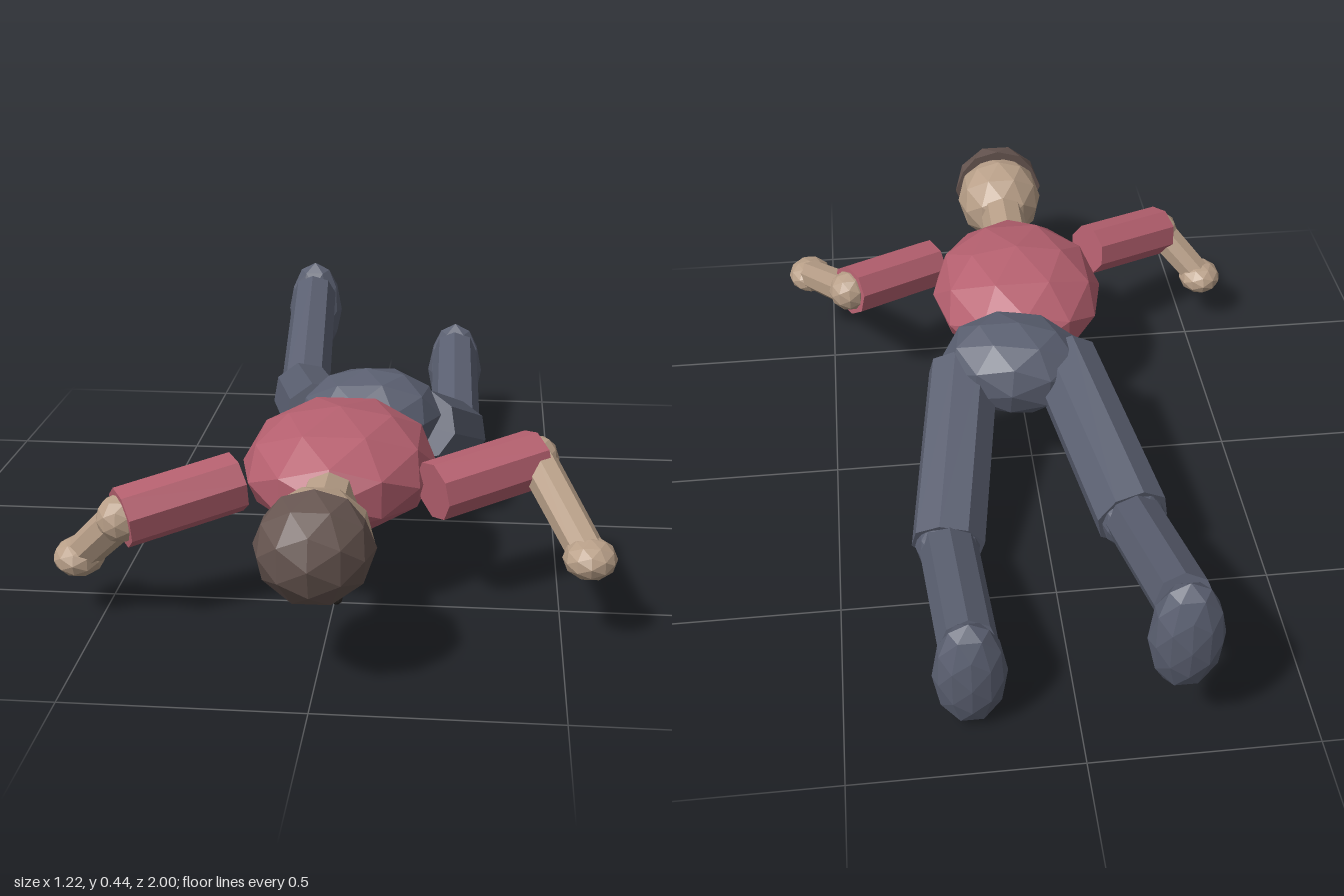
import * as THREE from 'three';

const paint = (name, color) => {
  const m = new THREE.MeshStandardMaterial({ color, flatShading: true });
  m.name = name;
  return m;
};

export function createModel() {
  const shirt = paint('shirt red', 0xb5606f);
  const trousers = paint('slate trousers', 0x5a5f70);
  const skin = paint('skin', 0xb89f88);
  const brown = paint('hair brown', 0x665550);
  const black = paint('eye black', 0x26221f);

  const model = new THREE.Group();
  model.name = 'lyingFigure';

  const add = (parent, name, geometry, material) => {
    const mesh = new THREE.Mesh(geometry, material);
    mesh.name = name;
    parent.add(mesh);
    return mesh;
  };

  // Faceted ellipsoid
  const blob = (parent, name, material, pos, radii, rot = [0, 0, 0]) => {
    const mesh = add(parent, name, new THREE.IcosahedronGeometry(1, 1).scale(...radii), material);
    mesh.position.set(...pos);
    mesh.rotation.set(...rot);
    return mesh;
  };

  // Eight-sided limb between two points
  const limb = (parent, name, material, from, to, r0, r1 = r0) => {
    const a = new THREE.Vector3(...from);
    const b = new THREE.Vector3(...to);
    const dir = b.clone().sub(a);
    const mesh = add(parent, name, new THREE.CylinderGeometry(r1, r0, dir.length(), 8), material);
    mesh.position.copy(a).add(b).multiplyScalar(0.5);
    mesh.quaternion.setFromUnitVectors(new THREE.Vector3(0, 1, 0), dir.normalize());
    return mesh;
  };

  // Body
  blob(model, 'torso', shirt, [0, 0.285, 0.355], [0.222, 0.135, 0.28]);
  blob(model, 'hips', trousers, [0.04, 0.29, 0.025], [0.18, 0.12, 0.145], [0, -0.15, 0.08]);

  // Head, face down
  const head = new THREE.Group();
  head.name = 'head';
  model.add(head);
  limb(head, 'neck', skin, [0, 0.292, 0.58], [0, 0.292, 0.74], 0.06);
  blob(head, 'skull', skin, [0, 0.288, 0.83], [0.118, 0.116, 0.135]);

  // Hair cap: the half of the ellipsoid beyond the crown line
  const cap = new THREE.IcosahedronGeometry(1, 1);
  const p = cap.attributes.position;
  for (let i = 0; i < p.count; i++) p.setZ(i, Math.max(p.getZ(i), 0));
  cap.scale(0.123, 0.118, 0.134);
  cap.computeVertexNormals();
  const hair = add(head, 'hair', cap, brown);
  hair.position.set(0, 0.3, 0.865);
  for (const s of [-1, 1]) {
    blob(head, s > 0 ? 'leftEye' : 'rightEye', black, [s * 0.042, 0.184, 0.858], [0.012, 0.012, 0.012]);
  }

  // Arms
  const arms = [
    { name: 'leftArm', shoulder: [0.217, 0.283, 0.51], elbow: [0.44, 0.312, 0.36], hand: [0.552, 0.193, 0.635] },
    { name: 'rightArm', shoulder: [-0.212, 0.293, 0.515], elbow: [-0.438, 0.256, 0.655], hand: [-0.55, 0.136, 0.588] },
  ];
  for (const { name, shoulder, elbow, hand } of arms) {
    const arm = new THREE.Group();
    arm.name = name;
    model.add(arm);
    limb(arm, 'sleeve', shirt, shoulder, elbow, 0.067);
    blob(arm, 'elbow', skin, elbow, [0.053, 0.053, 0.053]);
    limb(arm, 'forearm', skin, elbow, hand, 0.044, 0.04);
    blob(arm, 'hand', skin, hand, [0.058, 0.043, 0.065]);
  }

  // Legs
  const legs = [
    { name: 'leftLeg', hip: [0.168, 0.27, 0.03], knee: [0.243, 0.1, -0.41], ankle: [0.228, 0.21, -0.84], foot: [0.228, 0.147, -0.853] },
    { name: 'rightLeg', hip: [-0.082, 0.28, 0.03], knee: [-0.18, 0.185, -0.46], ankle: [-0.203, 0.36, -0.91], foot: [-0.203, 0.304, -0.944] },
  ];
  for (const { name, hip, knee, ankle, foot } of legs) {
    const leg = new THREE.Group();
    leg.name = name;
    model.add(leg);
    limb(leg, 'thigh', trousers, hip, knee, 0.088);
    blob(leg, 'knee', trousers, knee, [0.077, 0.077, 0.077]);
    limb(leg, 'shin', trousers, knee, ankle, 0.069, 0.064);
    blob(leg, 'foot', trousers, foot, [0.08, 0.143, 0.056]);
  }

  return model;
}
